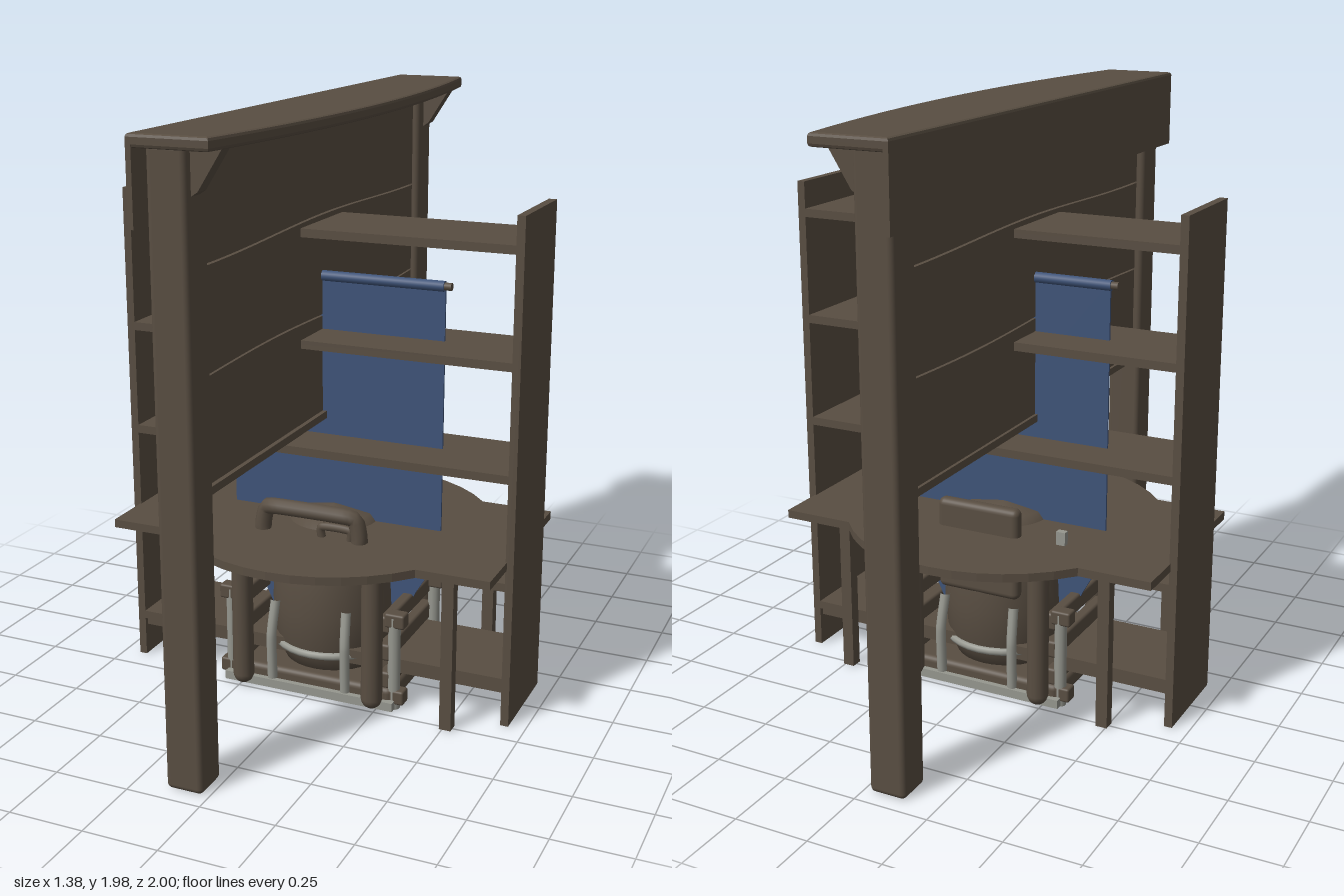
import * as THREE from 'three';
import { RoundedBoxGeometry } from 'three/addons/geometries/RoundedBoxGeometry.js';

const wood = new THREE.MeshStandardMaterial({ color: 0x594e42, name: 'darkWood' });
const cloth = new THREE.MeshStandardMaterial({ color: 0x3f5479, name: 'blueCloth' });
const metal = new THREE.MeshStandardMaterial({ color: 0x96978f, name: 'paleMetal' });

export function createModel() {
  const root = new THREE.Group();
  root.name = 'workStation';

  const add = (name, geo, mat, x = 0, y = 0, z = 0) => {
    const m = new THREE.Mesh(geo, mat);
    m.name = name;
    m.position.set(x, y, z);
    root.add(m);
    return m;
  };
  // box given by its ranges on each axis
  const box = (name, x0, x1, y0, y1, z0, z1, mat = wood, r = 0) => {
    const s = [x1 - x0, y1 - y0, z1 - z0];
    const geo = r ? new RoundedBoxGeometry(...s, 3, r) : new THREE.BoxGeometry(...s);
    return add(name, geo, mat, (x0 + x1) / 2, (y0 + y1) / 2, (z0 + z1) / 2);
  };
  const shapeOf = (pts) => new THREE.Shape(pts.map((p) => new THREE.Vector2(...p)));
  // horizontal slab from an (x, -z) outline
  const slab = (name, pts, y, depth, bevel = 0) => {
    const geo = new THREE.ExtrudeGeometry(shapeOf(pts), {
      depth: depth - 2 * bevel, bevelEnabled: bevel > 0, bevelSize: bevel,
      bevelThickness: bevel, bevelOffset: -bevel, bevelSegments: 2,
    });
    geo.rotateX(-Math.PI / 2);
    return add(name, geo, wood, 0, y + bevel, 0);
  };
  const tube = (name, pts, r, mat, closed = false) => add(name, new THREE.TubeGeometry(
    new THREE.CatmullRomCurve3(pts.map((p) => new THREE.Vector3(...p)), closed, 'catmullrom', 0.3),
    40, r, 10, closed), mat);

  // Roof plank, bowed on its left edge, with a hanging back board
  const roof = [[-0.17, 1], [-0.17, -1]];
  for (let i = 0; i <= 16; i++) {
    const t = -1 + i / 8;
    roof.push([0.08 + 0.085 * (1 - t * t), t]);
  }
  slab('roofPlank', roof, 1.94, 0.04, 0.01);
  box('roofBackBoard', -0.17, -0.153, 1.72, 1.965, -1, 1);

  // Posts and triangular brackets
  for (const s of [-1, 1]) {
    const post = new RoundedBoxGeometry(0.124, 1.95, 0.124, 3, 0.018);
    add('post', post, wood, -0.082, 0.975, s * 0.885);
    const bracket = new THREE.ExtrudeGeometry(
      shapeOf([[-0.03, 1.8], [0.0, 1.82], [0.08, 1.945], [-0.03, 1.945]]),
      { depth: 0.05, bevelEnabled: false });
    add('bracket', bracket, wood, 0, 0, s * 0.892 - 0.025);
  }

  // Wall of three planks with wavy seams over a thin core
  const wave = (z, y) => y + (y > 1 && y < 1.9 ? 0.009 * Math.sin(z * 4 + y * 5) : 0);
  const seams = [0.93, 1.275, 1.605, 1.945];
  for (let k = 0; k < 3; k++) {
    const low = [], high = [];
    for (let i = 0; i <= 20; i++) {
      const z = -0.83 + i * 0.083;
      low.push([z, wave(z, seams[k]) + 0.003]);
      high.unshift([z, wave(z, seams[k + 1]) - 0.003]);
    }
    const geo = new THREE.ExtrudeGeometry(shapeOf(low.concat(high)), { depth: 0.07, bevelEnabled: false });
    geo.rotateY(-Math.PI / 2);
    add('wallPlank', geo, wood, -0.045, 0, 0);
  }
  box('wallCore', -0.1, -0.06, 0.94, 1.94, -0.83, 0.83);
  box('wallRail', -0.125, -0.03, 0.92, 0.945, -0.83, 0.83);

  // Bookcase
  for (const s of [-1, 1]) {
    box('bookcaseSide', s * 0.679 - 0.0135, s * 0.679 + 0.0135, 0, 1.685, -0.17, 0.165);
  }
  for (const y of [0.153, 0.487, 0.85, 1.215, 1.58]) {
    box('shelf', -0.668, 0.668, y - 0.014, y + 0.014, -0.17, 0.165);
  }
  box('bottomShelfRail', -0.668, 0.668, 0.11, 0.139, -0.155, 0.15);

  // Banner on its rod
  const banner = shapeOf([[-0.378, 1.42], [-0.378, 0.48], [-0.3, 0.34], [-0.2, 0.13],
    [0.2, 0.13], [0.3, 0.34], [0.385, 0.48], [0.385, 1.42]]);
  add('banner', new THREE.ExtrudeGeometry(banner, { depth: 0.008, bevelEnabled: false }), cloth, 0, 0, -0.014);
  const rod = (name, r, len, mat) => {
    add(name, new THREE.CylinderGeometry(r, r, len, 12), mat, 0, 1.409, -0.01).rotation.z = Math.PI / 2;
  };
  rod('bannerRod', 0.013, 0.81, wood);
  rod('bannerSleeve', 0.018, 0.763, cloth);

  // Table top: a rectangle with round bulges front and back
  const top = [];
  const a0 = Math.asin(0.335 / 0.54);
  for (const s of [1, -1]) {
    top.push([s * 0.67, -s * 0.335], [s * 0.67, s * 0.335]);
    for (let i = 0; i <= 12; i++) {
      const a = a0 + (Math.PI - 2 * a0) * i / 12;
      top.push([s * 0.54 * Math.cos(a), s * 0.54 * Math.sin(a)]);
    }
  }
  slab('tableTop', top, 0.547, 0.028);
  for (const s of [-1, 1]) {
    box('tableFrontLeg', s * 0.51 - 0.02, s * 0.51 + 0.02, 0, 0.55, 0.23, 0.27);
    box('tableBackLeg', s * 0.485 - 0.02, s * 0.485 + 0.02, 0, 0.55, -0.27, -0.23);
  }

  // Barrel unit under the table
  const profile = [[0, 0.06], [0.165, 0.06], [0.2, 0.14], [0.212, 0.28], [0.205, 0.42],
    [0.18, 0.54], [0.13, 0.6], [0, 0.62]].map((p) => new THREE.Vector2(...p));
  add('barrel', new THREE.LatheGeometry(profile, 32), wood);
  for (const [y, r] of [[0.14, 0.2], [0.515, 0.187]]) {
    add('barrelBand', new THREE.TorusGeometry(r, 0.014, 8, 32), metal, 0, y, 0).rotation.x = Math.PI / 2;
  }
  box('barrelBase', -0.3, 0.3, 0.01, 0.075, -0.215, 0.215, wood, 0.02);
  add('baseRing', new THREE.TorusGeometry(0.12, 0.012, 8, 32), wood, 0, 0.012, 0).rotation.x = Math.PI / 2;
  add('basePlug', new THREE.CylinderGeometry(0.055, 0.055, 0.01, 20), metal, 0, 0.007, 0);

  // Frame around the barrel, mirrored on both axes
  for (const sx of [-1, 1]) {
    for (const sz of [-1, 1]) {
      add('framePillar', new THREE.CapsuleGeometry(0.036, 0.46, 6, 14), wood, sx * 0.238, 0.275, sz * 0.235);
      add('framePost', new THREE.CylinderGeometry(0.021, 0.021, 0.33, 10), metal, sx * 0.3, 0.166, sz * 0.19);
      for (const y of [0.045, 0.32]) {
        box('frameClamp', sx * 0.305 - 0.035, sx * 0.305 + 0.035, y - 0.025, y + 0.025,
          sz * 0.185 - 0.025, sz * 0.185 + 0.025, wood, 0.008);
      }
      tube('frameStrut', [[sx * 0.135, 0.04, sz * 0.22], [sx * 0.135, 0.2, sz * 0.225],
        [sx * 0.13, 0.32, sz * 0.2]], 0.017, metal);
    }
    for (const y of [0.1, 0.2, 0.3]) {
      box('sideSlat', sx * 0.27 - 0.02, sx * 0.27 + 0.02, y - 0.03, y + 0.03, -0.205, 0.205, wood, 0.01);
    }
    box('shoulderClip', sx * 0.297 - 0.016, sx * 0.297 + 0.016, 0.57, 0.62, -0.195, -0.172, metal);
  }
  for (const sz of [-1, 1]) box('frameFoot', -0.31, 0.31, 0.005, 0.035, sz * 0.22 - 0.014, sz * 0.22 + 0.014, metal);

  // Grip above the table, and the pad behind it
  tube('frontGrip', [[-0.16, 0.47, 0.195], [-0.175, 0.58, 0.195], [-0.16, 0.65, 0.195], [-0.11, 0.662, 0.205],
    [0.11, 0.662, 0.205], [0.16, 0.65, 0.195], [0.175, 0.58, 0.195], [0.16, 0.47, 0.195]], 0.028, wood);
  tube('innerGrip', [[0.04, 0.56, 0.19], [0.04, 0.61, 0.195], [0.14, 0.61, 0.195], [0.14, 0.56, 0.19]], 0.014, wood);
  box('backPad', -0.15, 0.15, 0.35, 0.67, -0.215, -0.165, wood, 0.022);

  return root;
}
